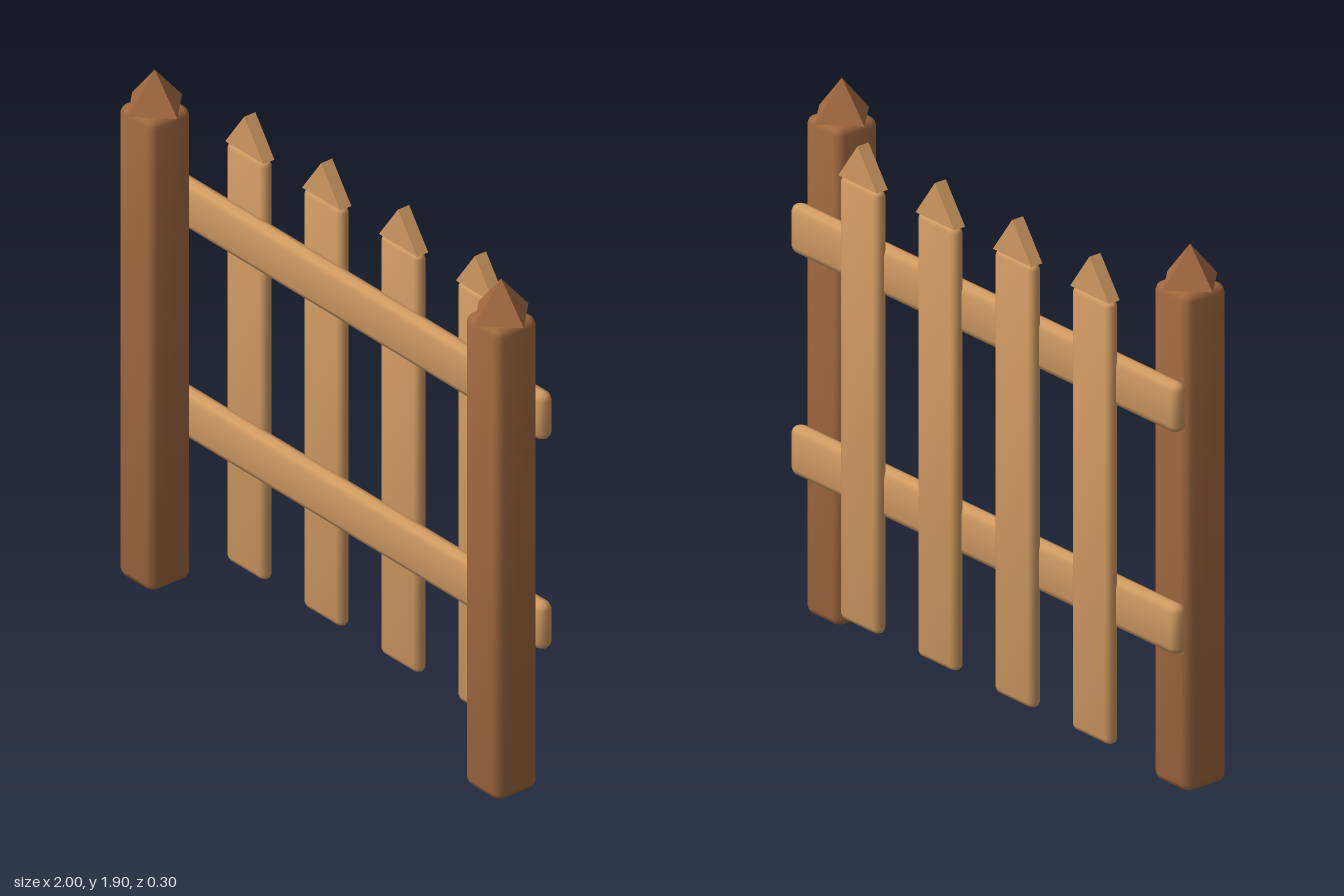
import * as THREE from 'three';
import { RoundedBoxGeometry } from 'three/addons/geometries/RoundedBoxGeometry.js';

export function createModel() {
  const fence = new THREE.Group();
  fence.name = 'fence';

  const postWood = new THREE.MeshStandardMaterial({ color: 0xa0683f });
  postWood.name = 'dark wood';
  const plankWood = new THREE.MeshStandardMaterial({ color: 0xd09a62 });
  plankWood.name = 'light wood';

  function add(name, geometry, material, x, y, z) {
    const mesh = new THREE.Mesh(geometry, material);
    mesh.name = name;
    mesh.position.set(x, y, z);
    fence.add(mesh);
  }

  // Bevelled timber; normals lean outwards so the flat sides shade softly
  function timber(w, h, d, bevel) {
    const geo = new RoundedBoxGeometry(w, h, d, 1, bevel);
    const p = geo.attributes.position, n = geo.attributes.normal;
    const v = new THREE.Vector3();
    for (let i = 0; i < p.count; i++) {
      v.fromBufferAttribute(n, i);
      v.x += 0.2 * Math.sign(p.getX(i));
      v.y += 0.2 * Math.sign(p.getY(i));
      v.z += 0.2 * Math.sign(p.getZ(i));
      v.normalize();
      n.setXYZ(i, v.x, v.y, v.z);
    }
    return geo;
  }

  // Posts with four-sided caps turned corner-forward
  const postGeo = timber(0.175, 1.765, 0.175, 0.028);
  const capGeo = new THREE.ConeGeometry(0.115, 0.135, 4).toNonIndexed();
  capGeo.computeVertexNormals();
  for (const [side, x] of [['left', 0.883], ['right', -0.883]]) {
    add(side + 'Post', postGeo, postWood, x, 0.8825, 0.033);
    add(side + 'PostCap', capGeo, postWood, x, 1.8325, 0.033);
  }

  // Rails behind the posts
  const railGeo = timber(1.96, 0.175, 0.06, 0.026);
  add('lowerRail', railGeo, plankWood, 0, 0.592, -0.083);
  add('upperRail', railGeo, plankWood, 0, 1.377, -0.083);

  // Pickets with triangular tips
  const picketGeo = timber(0.195, 1.57, 0.046, 0.02);
  const triangle = new THREE.Shape();
  triangle.moveTo(-0.0975, 0);
  triangle.lineTo(0.0975, 0);
  triangle.lineTo(0, 0.135);
  triangle.closePath();
  const tipGeo = new THREE.ExtrudeGeometry(triangle, { depth: 0.047, bevelEnabled: false });
  for (let i = 0; i < 4; i++) {
    const x = (i - 1.5) * 0.392;
    add('picket' + (i + 1), picketGeo, plankWood, x, 0.885, -0.123);
    add('picketTip' + (i + 1), tipGeo, plankWood, x, 1.67, -0.147);
  }

  return fence;
}
